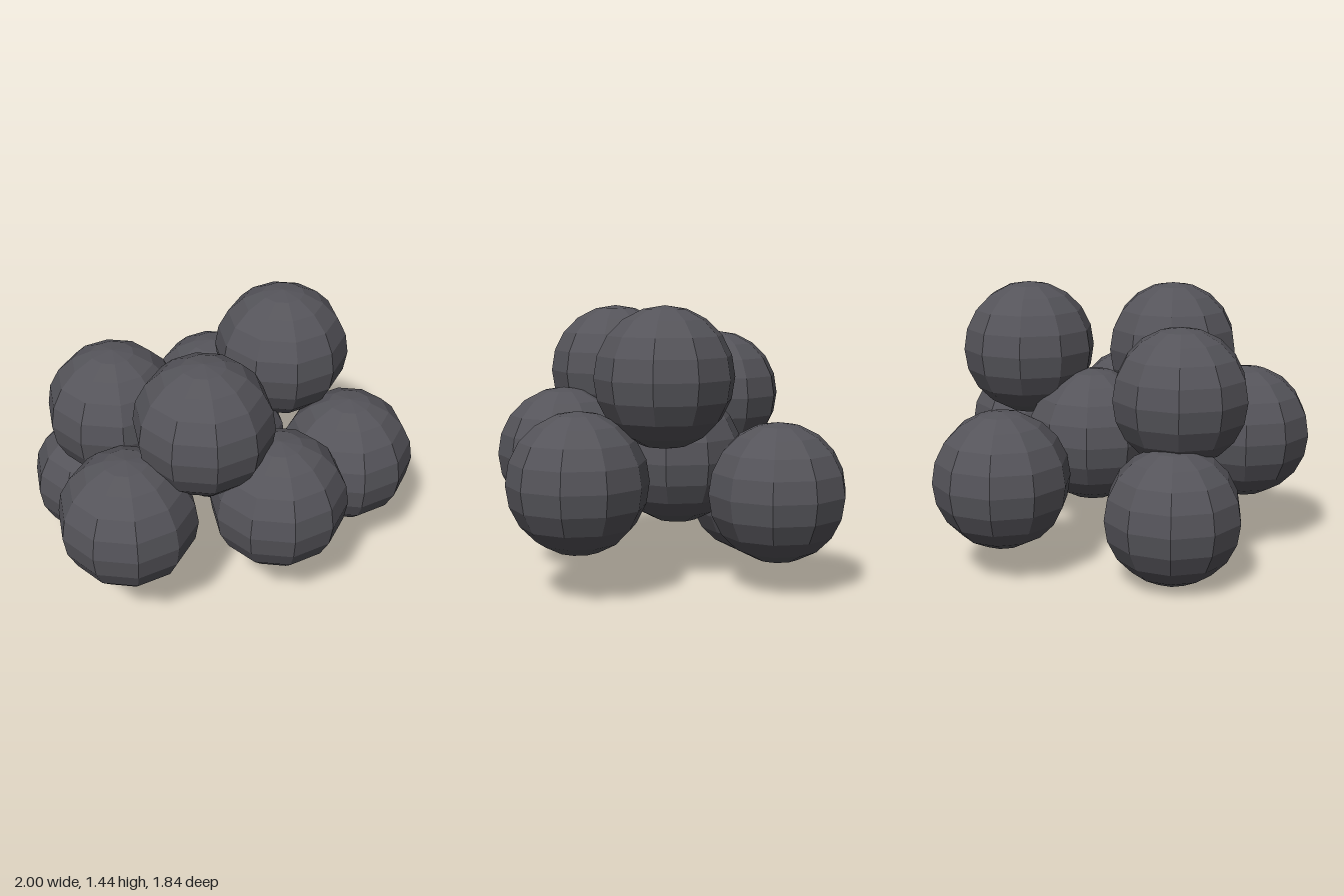
import * as THREE from 'three';

const RADIUS = 0.355;

// Centre of each ball in the heap
const CENTRES = [
  // bottom
  [-0.495, 0.355, -0.375],
  [0.353, 0.505, -0.583],
  // middle
  [0.645, 0.577, 0.375],
  [-0.645, 0.64, 0.346],
  [0.088, 0.64, 0.58],
  [0.09, 0.64, -0.028],
  // top
  [-0.457, 0.918, -0.175],
  [-0.222, 1.067, 0.36],
  [0.462, 1.085, -0.027],
];

export function createModel() {
  const group = new THREE.Group();
  group.name = 'ballHeap';

  // One faceted ball shared by the whole heap
  const geometry = new THREE.SphereGeometry(RADIUS, 10, 10);
  const material = new THREE.MeshStandardMaterial({ color: 0x55545a, flatShading: true });

  CENTRES.forEach((centre, i) => {
    const ball = new THREE.Mesh(geometry, material);
    ball.name = `ball${i + 1}`;
    ball.position.set(...centre);
    group.add(ball);
  });

  return group;
}
